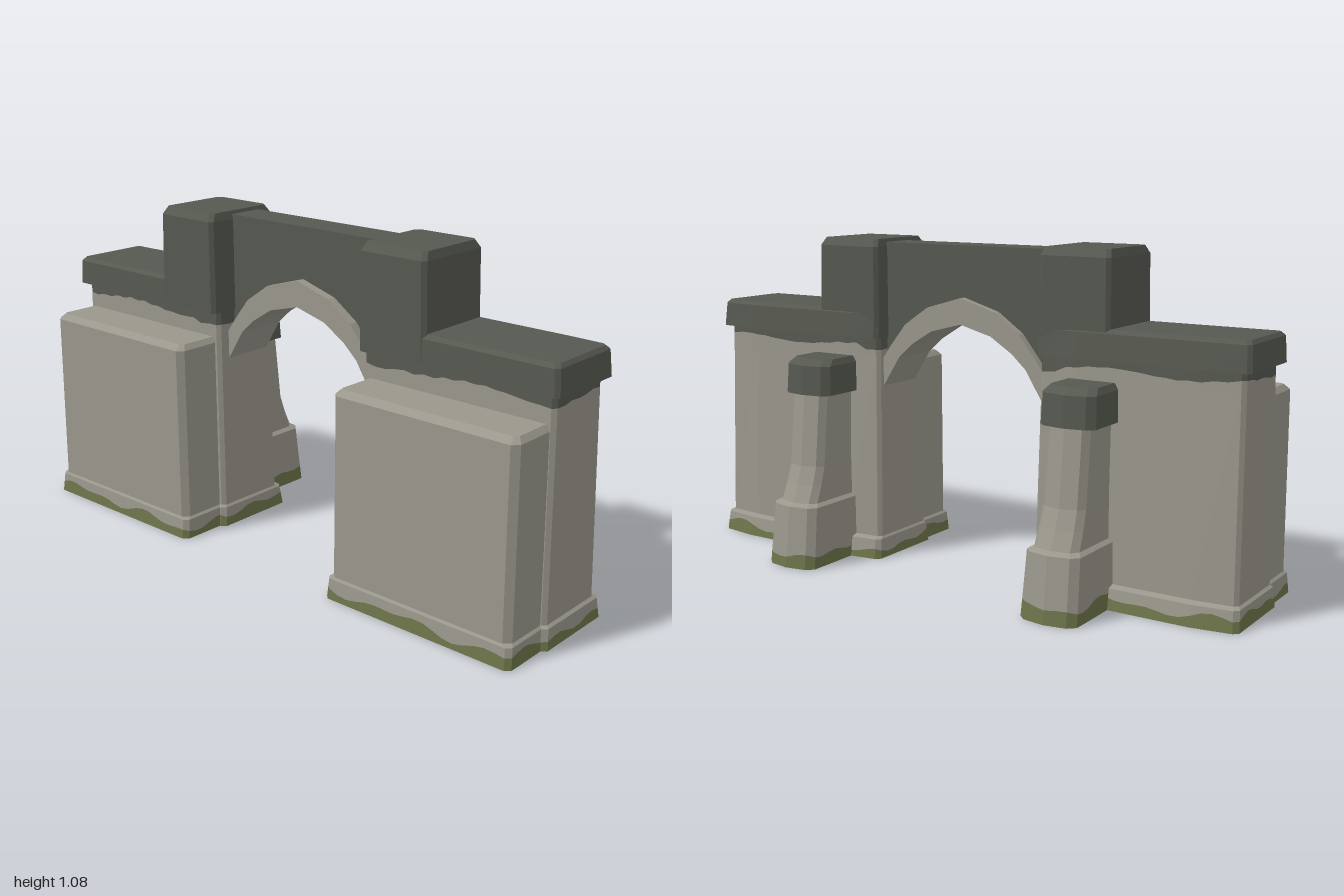
import * as THREE from 'three';

const mat = (name, color) => new THREE.MeshStandardMaterial({ name, color, side: THREE.DoubleSide });

// Faceted skin through closed rings of [x, y, z], listed from bottom to top
function loft(rings, top = false, bottom = false) {
  const pos = [];
  const tri = (a, b, c) => pos.push(...a, ...b, ...c);
  const n = rings[0].length;
  for (let r = 0; r + 1 < rings.length; r++) {
    const a = rings[r], b = rings[r + 1];
    for (let i = 0; i < n; i++) {
      const j = (i + 1) % n;
      tri(a[i], a[j], b[j]);
      tri(a[i], b[j], b[i]);
    }
  }
  const t = rings[rings.length - 1], u = rings[0];
  for (let i = 1; i + 1 < n; i++) {
    if (top) tri(t[0], t[i], t[i + 1]);
    if (bottom) tri(u[0], u[i + 1], u[i]);
  }
  const g = new THREE.BufferGeometry();
  g.setAttribute('position', new THREE.Float32BufferAttribute(pos, 3));
  g.computeVertexNormals();
  return g;
}

// Rectangle with cut corners and an optional bulge along the back
function block(s, y, x0, x1, z0, z1, c = 0.012, bulge = 0) {
  const w = x1 - x0;
  return orient(s, [
    [x0 + c, y, z1], [x1 - c, y, z1], [x1, y, z1 - c], [x1, y, z0 + c], [x1 - c, y, z0],
    [x1 - w * 0.2, y, z0 - bulge], [x0 + w * 0.2, y, z0 - bulge], [x0 + c, y, z0],
    [x0, y, z0 + c], [x0, y, z1 - c],
  ]);
}

// Buttress section: straight sides and a faceted, rounded back
function section(s, y, hw, back, c = 0.035, front = -0.04) {
  const x = 0.495;
  return orient(s, [
    [x - hw, y, front], [x + hw, y, front], [x + hw, y, back + c], [x + hw * 0.75, y, back + c * 0.35],
    [x, y, back], [x - hw * 0.75, y, back + c * 0.35], [x - hw, y, back + c],
  ]);
}

function orient(s, pts) {
  const out = pts.map(([x, y, z]) => [s * x, y, z]);
  return s < 0 ? out.reverse() : out;
}

const mix = (a, b, t) => a.map((v, i) => v + (b[i] - v) * t);

// Splits the band between two rings along a wavy line; height(x, z) gives its y
function wavySplit(a, b, height) {
  const lo = [], mid = [], hi = [];
  a.forEach((p, i) => {
    const j = (i + 1) % a.length;
    const steps = Math.max(1, Math.round(Math.hypot(a[j][0] - p[0], a[j][2] - p[2]) / 0.035));
    for (let k = 0; k < steps; k++) {
      const l = mix(p, a[j], k / steps), h = mix(b[i], b[j], k / steps);
      lo.push(l);
      hi.push(h);
      mid.push(mix(l, h, (height(l[0], l[2]) - l[1]) / (h[1] - l[1])));
    }
  });
  return [loft([lo, mid]), loft([mid, hi])];
}

const mossLine = (x, z) => 0.033 + 0.009 * Math.sin(x * 17 + z * 11) + 0.007 * Math.sin(x * 31 - z * 38);
const stainLine = (x, z) => 0.72 - 0.008 * Math.sin(x * 13 + z * 9) - 0.003 * Math.sin(x * 83 + z * 60)
  - (Math.abs(x) < 0.4 ? 0.015 : 0);

export function createModel() {
  const model = new THREE.Group();
  model.name = 'archGate';
  const stone = mat('paleStone', 0x9a978c);
  const dark = mat('darkStone', 0x565950);
  const moss = mat('moss', 0x6d744a);
  const add = (parent, name, geo, material) => {
    const m = new THREE.Mesh(geo, material);
    m.name = name;
    parent.add(m);
  };

  for (const s of [1, -1]) {
    const pier = new THREE.Group();
    pier.name = s > 0 ? 'leftPier' : 'rightPier';
    model.add(pier);

    // Main wall with flared foot and stained upper edge
    const foot = [block(s, 0, 0.29, 1.0, -0.112, 0.193, 0.015, 0.018),
      block(s, 0.065, 0.296, 0.995, -0.102, 0.187, 0.015, 0.016)];
    const wall = [block(s, 0.072, 0.303, 0.986, -0.083, 0.178, 0.012, 0.012),
      block(s, 0.69, 0.311, 0.978, -0.068, 0.174, 0.012, 0.008),
      block(s, 0.765, 0.312, 0.977, -0.066, 0.173, 0.012, 0.008)];
    let [low, high] = wavySplit(foot[0], foot[1], mossLine);
    add(pier, 'wallFootMoss', low, moss);
    add(pier, 'wallFoot', high, stone);
    add(pier, 'wall', loft([foot[1], wall[0], wall[1]]), stone);
    [low, high] = wavySplit(wall[1], wall[2], stainLine);
    add(pier, 'wallTop', low, stone);
    add(pier, 'wallStain', high, dark);

    // Projecting front slab
    const slab = [block(s, 0, 0.31, 0.985, 0.16, 0.35, 0.015), block(s, 0.065, 0.314, 0.98, 0.16, 0.343, 0.015)];
    [low, high] = wavySplit(slab[0], slab[1], mossLine);
    add(pier, 'slabFootMoss', low, moss);
    add(pier, 'slabFoot', high, stone);
    add(pier, 'frontSlab', loft([slab[1],
      block(s, 0.072, 0.322, 0.972, 0.16, 0.337, 0.02),
      block(s, 0.648, 0.325, 0.968, 0.16, 0.335, 0.02),
      block(s, 0.665, 0.34, 0.953, 0.16, 0.312, 0.012)], true), stone);

    // Coping and tall end block
    add(pier, 'coping', loft([
      block(s, 0.75, 0.308, 1.0, -0.088, 0.199, 0.012, 0.008),
      block(s, 0.83, 0.31, 0.995, -0.08, 0.196, 0.012, 0.006),
      block(s, 0.842, 0.32, 0.985, -0.068, 0.184, 0.012, 0.004)], true, true), dark);
    add(pier, 'towerBlock', loft([
      block(s, 0.752, 0.307, 0.556, -0.083, 0.199),
      block(s, 1.052, 0.309, 0.55, -0.081, 0.199),
      block(s, 1.077, 0.319, 0.54, -0.064, 0.182)], true, true), dark);

    // Rear buttress: wide foot, tapering shaft, dark cap
    const base = [section(s, 0, 0.096, -0.35), section(s, 0.1, 0.093, -0.338)];
    [low, high] = wavySplit(base[0], base[1], (x, z) => mossLine(x, z) + 0.014);
    add(pier, 'buttressMoss', low, moss);
    add(pier, 'buttressFoot', high, stone);
    add(pier, 'buttress', loft([base[1],
      section(s, 0.203, 0.09, -0.326),
      section(s, 0.213, 0.076, -0.306),
      section(s, 0.27, 0.074, -0.282),
      section(s, 0.33, 0.072, -0.262),
      section(s, 0.58, 0.07, -0.236)]), stone);
    add(pier, 'buttressCap', loft([
      section(s, 0.568, 0.093, -0.25),
      section(s, 0.665, 0.09, -0.244),
      section(s, 0.685, 0.078, -0.215)], true, true), dark);
  }

  // Faceted arch ring and the beam above it
  const half = (pts) => [...pts.slice(1).reverse().map(([x, y]) => [-x, y]), ...pts];
  const inner = half([[0, 0.815], [0.115, 0.785], [0.195, 0.735], [0.245, 0.69], [0.32, 0.572]]);
  const outer = half([[0, 0.9], [0.13, 0.862], [0.22, 0.80], [0.28, 0.725], [0.32, 0.67]]);
  const slice = (pts, z0, z1) => {
    const shape = new THREE.Shape(pts.map(([x, y]) => new THREE.Vector2(x, y)));
    return new THREE.ExtrudeGeometry(shape, { depth: z1 - z0, bevelEnabled: false }).translate(0, 0, z0);
  };
  add(model, 'archRing', slice([...inner, ...outer.slice().reverse()], -0.045, 0.13), stone);
  add(model, 'archBeam', slice([...outer, [0.32, 1.066], [-0.32, 1.066]], -0.02, 0.1), dark);
  return model;
}
